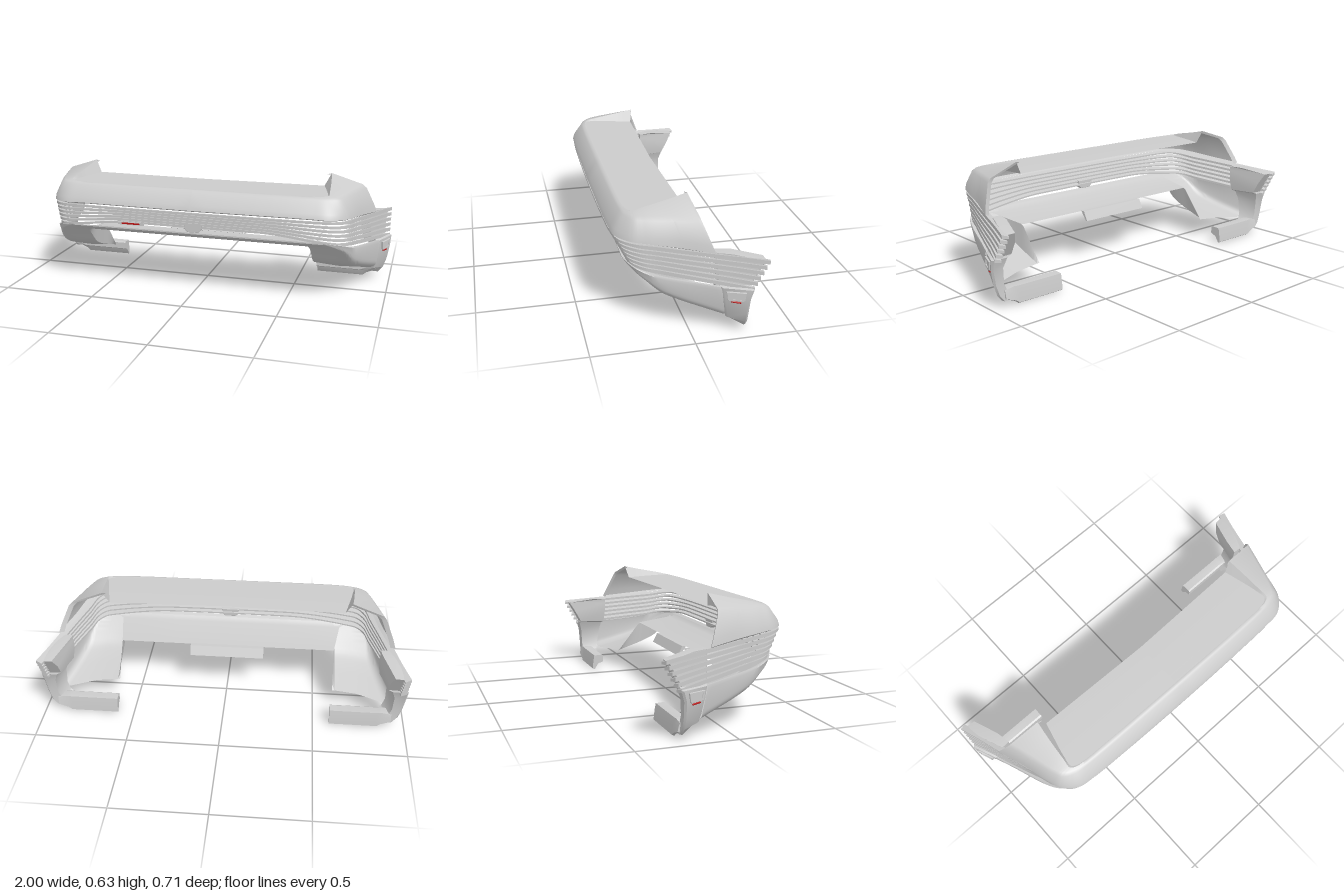
import * as THREE from 'three';
import { toCreasedNormals } from 'three/addons/utils/BufferGeometryUtils.js';

const V = (x, y, z) => new THREE.Vector3(x, y, z);
const { lerp, smoothstep } = THREE.MathUtils;
const grey = new THREE.MeshStandardMaterial({ color: 0xcccccc, side: THREE.DoubleSide });
const red = new THREE.MeshStandardMaterial({ color: 0xbb1111 });

// Skin over a list of point rows; closed rows form a tube with capped ends
function skin(rows, closed = false, crease = 0.55) {
  const n = rows[0].length, pos = [], idx = [];
  rows.forEach(r => r.forEach(p => pos.push(p.x, p.y, p.z)));
  for (let i = 0; i < rows.length - 1; i++) {
    for (let j = 0; j < (closed ? n : n - 1); j++) {
      const a = i * n + j, b = i * n + (j + 1) % n;
      idx.push(a, b, a + n, b, b + n, a + n);
    }
  }
  if (closed) {
    const last = (rows.length - 1) * n;
    for (let j = 1; j < n - 1; j++) idx.push(0, j + 1, j, last, last + j, last + j + 1);
  }
  const g = new THREE.BufferGeometry();
  g.setAttribute('position', new THREE.Float32BufferAttribute(pos, 3));
  g.setIndex(idx);
  return toCreasedNormals(g, crease);
}

// Smooth row through a few points
const smooth = (pts, n) => new THREE.CatmullRomCurve3(pts, false, 'centripetal').getPoints(n);
const mirrored = p => V(-p.x, p.y, p.z);

export function createModel() {
  const model = new THREE.Group();
  const add = (name, geo, mat = grey) => {
    const m = new THREE.Mesh(geo, mat);
    m.name = name;
    model.add(m);
    return m;
  };
  const pair = (name, geo, mat) => {
    add(name + 'Left', geo, mat);
    add(name + 'Right', geo, mat).scale.x = -1;
  };

  // Upper shell: each row runs from the middle round the corner to the rear side end
  const shellRows = [
    [[0, .466, .335], [.62, .466, .325], [.71, .461, .31], [.78, .457, .26], [.81, .45, .19], [.847, .432, .05], [.9, .415, -.105]],
    [[0, .475, .354], [.62, .475, .345], [.725, .47, .331], [.797, .466, .273], [.826, .459, .2], [.865, .442, .05], [.92, .422, -.11]],
    [[0, .5, .346], [.62, .5, .337], [.725, .497, .322], [.792, .494, .269], [.82, .49, .2], [.858, .475, .055], [.908, .46, -.095]],
    [[0, .562, .3], [.62, .562, .292], [.705, .56, .282], [.763, .56, .252], [.788, .56, .2], [.828, .562, .07], [.865, .562, -.055]],
    [[0, .57, .288], [.62, .57, .282], [.695, .57, .27], [.745, .572, .245], [.77, .575, .2], [.808, .58, .07], [.845, .582, -.048]],
    [[0, .573, .275], [.62, .573, .268], [.675, .574, .262], [.705, .577, .245], [.702, .59, .19], [.692, .614, .07], [.68, .637, -.03]],
    [[0, .572, .272], [.62, .572, .265], [.67, .572, .258], [.695, .572, .24], [.69, .572, .18], [.668, .571, .08], [.645, .569, -.015]],
  ].map(r => smooth(r.map(p => V(...p)), 48));
  pair('upperShell', skin(shellRows));
  const deckEdge = shellRows[6];
  add('deck', skin([deckEdge.map(mirrored), deckEdge.map(p => V(0, p.y, p.z + .015 * (p.z < .1))), deckEdge]));

  // Folded-in rear edge of the shell sides
  const rearEdge = shellRows.slice(1, 6).map(r => r[48]);
  pair('shellRearFold', skin([rearEdge, rearEdge.map(p => V(p.x - .025, p.y - .006, p.z + .008))]));

  // Wrap-round slats, dipping at the corners and spreading apart towards the rear
  const half = [[0, .352], [.4, .348], [.66, .337], [.75, .315], [.805, .25], [.835, .15], [.87, .04], [.915, -.11], [.95, -.23], [.988, -.345]];
  const plan = new THREE.CatmullRomCurve3(
    [...half.slice(1).reverse().map(p => V(-p[0], 0, p[1])), ...half.map(p => V(p[0], 0, p[1]))],
    false, 'centripetal');
  for (let i = 0; i < 6; i++) {
    const rows = [];
    for (let k = 0; k <= 120; k++) {
      const p = plan.getPoint(k / 120), t = plan.getTangent(k / 120);
      const u = (.352 - p.z) / .697;
      const front = .463 - i * (.0175 + .0075 * smoothstep(Math.abs(p.x), .35, .78));
      const z = lerp(.352 - .0125 * i, -.35 + .014 * i, u);
      const y = lerp(front, .393 - .0265 * i, u);
      const pitch = lerp(.0165, .025, smoothstep(u, 0, .3));
      const blade = [[0, 0], [0, -.74], [.034, -.9], [.034, -.4]];
      rows.push(blade.map(([d, h]) => V(p.x + t.z * d, y + h * pitch, z - Math.abs(t.x) * d)));
    }
    add('slat' + (i + 1), skin(rows, true));
  }

  // Centre bracket and small marker on the lowest slat
  const bracket = new THREE.Shape([[-.048, .02], [.048, .02], [.04, -.012], [.028, -.022], [-.028, -.022], [-.04, -.012]]
    .map(p => new THREE.Vector2(...p)));
  add('centreBracket', new THREE.ExtrudeGeometry(bracket, { depth: .025, bevelSize: .003, bevelThickness: .003, bevelSegments: 2 }))
    .position.set(0, .366, .266);
  add('frontMarkerPlate', new THREE.BoxGeometry(.15, .016, .008)).position.set(-.35, .363, .29);
  add('frontMarker', new THREE.BoxGeometry(.1, .008, .006), red).position.set(-.35, .363, .294);

  // Lower corner fairings: [z, outer x, rim y, floor y] slices from front to rear
  const slices = [[.29, .69, .337, .334], [.27, .745, .33, .314], [.24, .79, .321, .288], [.2, .818, .309, .252],
    [.13, .848, .292, .188], [.05, .875, .279, .151], [-.05, .908, .266, .117], [-.15, .945, .255, .086]];
  const cornerRows = slices.map(([z, x, top, low], i) => {
    const h = top - low, back = i / 7, r = Math.min(.045, h * .4);
    const pts = [V(.618, low + .022 * back, z + .05 * back * back), V(.74 - .05 * (1 - back), low + .01 * back, z + .045 * back * back)];
    for (let k = 0; k <= 6; k++) {
      const a = k / 6 * Math.PI / 2;
      pts.push(V(x - .012 * back - r * (1 - Math.sin(a)), low + r * (1 - Math.cos(a)), z - .01 * back * (1 - k / 12)));
    }
    pts.push(V(x, top - h * .1, z + .012 * back), V(x - .005, top, z + .018 * back), V(x - .02, top - .002, z + .012 * back));
    return pts;
  });
  const fairingRows = cornerRows[0].map((_, j) => smooth(cornerRows.map(r => r[j]), 28));
  pair('cornerFairing', skin(fairingRows, false, .7));

  // Inner walls joining the corner floors to the middle floor
  const wallTop = z => z > .04 ? lerp(.283, .304, (z - .04) / .21) : lerp(.283, .108, (.04 - z) / .14);
  pair('fairingInnerWall', skin([fairingRows[0], fairingRows[0].map(p => V(.605, Math.max(p.y, wallTop(p.z)), p.z))]));

  // Front lip running back into the middle floor, with a hanging tab: [y, z, half width]
  const floor = [[.328, .272, .69], [.337, .29, .69], [.33, .29, .69], [.316, .275, .68], [.304, .25, .64], [.283, .04, .605]];
  add('middleFloor', skin([-1, -.5, 0, .5, 1].map(s => floor.map(([y, z, w]) => V(s * w, y, z)))));
  const tab = [[.284, .045], [.24, .012], [.232, .002], [.234, -.004], [.284, .022]];
  add('centreTab', skin([-.208, .208].map(x => tab.map(([y, z]) => V(x, y, z))), true));

  // Rear side pillars: [y, front z, rear z, front x, rear x, thickness, rear drop]
  const pillar = [[.41, -.115, -.2, .89, .918, .06, 0], [.385, -.115, -.343, .892, .968, .06, 0], [.33, -.118, -.312, .9, .963, .075, 0],
    [.262, -.125, -.275, .912, .962, .075, 0], [.252, -.135, -.28, .945, .998, .085, 0], [.2, -.145, -.265, .948, .994, .065, 0],
    [.12, -.16, -.262, .938, .98, .055, 0], [.08, -.168, -.263, .925, .962, .06, .015], [.06, -.18, -.265, .89, .935, .06, .027]];
  pair('sidePillar', skin(pillar.map(([y, zf, zb, xf, xb, t, d]) => [V(xf - .01, y, zf), V(xf, y, zf - .008),
    V(xb, y - d, zb + .01), V(xb - .008, y - d, zb), V(xb - t, y - d, zb + .004), V(xf - t * .8, y, zf - .004)]), true));

  // Inward feet below the pillars
  const foot = [[.088, -.205], [.094, -.215], [.092, -.262], [.06, -.268], [.01, -.274], [.003, -.262], [.012, -.256], [.036, -.245], [.052, -.205]];
  const footRows = [[.59, 0, 1], [.85, 0, 1], [.87, .012, .85], [.925, .025, .5]].map(([x, up, s]) =>
    foot.map(([y, z]) => V(x, up + .03 + (y - .03) * s, z)));
  pair('foot', skin(footRows, true));

  // Framed inset and red marker on the outside of each pillar
  const outline = (w, h) => [[-w, h], [w, h], [w * .86, -h * .8], [w * .75, -h], [-w * .75, -h], [-w * .86, -h * .8]]
    .map(p => new THREE.Vector2(...p));
  const frame = new THREE.Shape(outline(.045, .022));
  frame.holes.push(new THREE.Path(outline(.034, .014)));
  const frameGeo = new THREE.ExtrudeGeometry(frame, { depth: .006, bevelSize: .002, bevelThickness: .002, bevelSegments: 2 });
  const insetGeo = new THREE.ExtrudeGeometry(new THREE.Shape(outline(.036, .016)), { depth: .003, bevelEnabled: false });
  const lampGeo = new THREE.CapsuleGeometry(.004, .042, 4, 10).rotateZ(Math.PI / 2 - .07);
  for (const g of [frameGeo, insetGeo, lampGeo]) g.rotateY(Math.PI / 2 - .36);
  pair('pillarFrame', frameGeo.translate(.97, .215, -.2));
  pair('pillarInset', insetGeo.translate(.97, .215, -.2));
  pair('pillarMarker', lampGeo.translate(.969, .183, -.2), red);

  return model;
}
